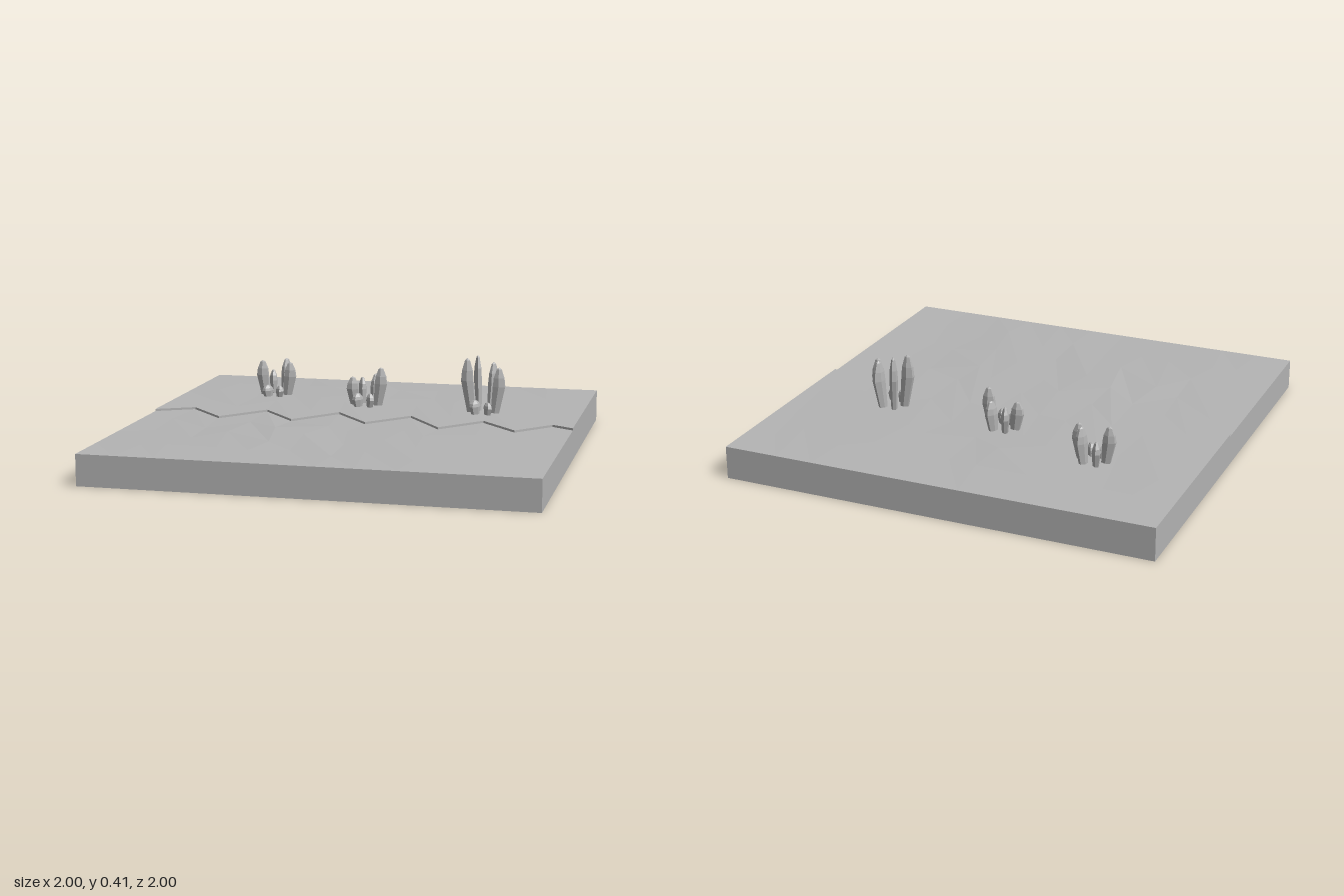
import * as THREE from 'three';

const stone = new THREE.MeshStandardMaterial({ color: 0xb4b4b4, flatShading: true });
stone.name = 'grey stone';

// Zigzag step between the high rear ground and the low front ground: [x, z]
const STEP = [[-1, 0], [-0.83, -0.09], [-0.65, 0.1], [-0.475, -0.11], [-0.3, 0.09], [-0.125, -0.13], [0.05, 0.08],
  [0.225, -0.12], [0.4, 0.12], [0.575, -0.08], [0.75, 0.11], [0.9, -0.06], [1, 0]];
const FRONT_Y = 0.141, BACK_Y = 0.151;

// Low swells in the ground: [x, z, height, radius]
const SWELLS = [[-0.28, 0.35, 0.015, 0.24], [0.3, 0.38, 0.01, 0.25], [0.35, 0.78, 0.006, 0.22], [-0.6, 0.78, 0.006, 0.25],
  [-0.25, -0.62, 0.012, 0.28], [0.4, -0.65, 0.008, 0.3], [-0.75, -0.75, 0.005, 0.2]];
const swell = (x, z) => SWELLS.reduce((s, [cx, cz, h, r]) =>
  s + h * Math.max(0, 1 - Math.hypot(x - cx, z - cz) / (r * 1.5)), 0);

// Slab with its uneven top, wrapped as one closed loop of rows per column
function groundGeometry() {
  const columns = STEP.map(([x, zs], i) => {
    const inner = i > 0 && i < STEP.length - 1;
    const point = (t, from, to, y, k) => {
      const wob = inner ? 0.035 * Math.sin(i * 2.7 + k * 1.9) : 0;
      const px = x + wob, z = from + (to - from) * t + wob;
      return [px, y + (inner ? swell(px, z) : 0), z];
    };
    const rows = [[x, 0, -1], [x, BACK_Y, -1]];
    [0.25, 0.5, 0.75].forEach((t, k) => rows.push(point(t, -1, zs, BACK_Y, k)));
    rows.push([x, BACK_Y, zs], [x, FRONT_Y, zs]);
    [0.25, 0.5, 0.75].forEach((t, k) => rows.push(point(t, zs, 1, FRONT_Y, k + 4)));
    rows.push([x, FRONT_Y, 1], [x, 0, 1]);
    return rows;
  });
  const pos = [];
  const quad = (a, b, c, d) => pos.push(...a, ...b, ...c, ...a, ...c, ...d);
  const n = columns[0].length;
  for (let i = 0; i < columns.length - 1; i++) {
    const L = columns[i], R = columns[i + 1];
    for (let j = 0; j < n; j++) {
      const k = (j + 1) % n;
      quad(L[j], L[k], R[k], R[j]);
    }
  }
  // Left and right side walls
  const drop = (p) => [p[0], 0, p[2]];
  const first = columns[0], last = columns[columns.length - 1];
  for (let j = 1; j < n - 2; j++) {
    quad(first[j], drop(first[j]), drop(first[j + 1]), first[j + 1]);
    quad(last[j + 1], drop(last[j + 1]), drop(last[j]), last[j]);
  }
  const g = new THREE.BufferGeometry();
  g.setAttribute('position', new THREE.Float32BufferAttribute(pos, 3));
  g.computeVertexNormals();
  return g;
}

// Six-sided flattened crystal leaning outward along +x
function crystalGeometry(height) {
  const profile = [[0.65, 0], [1, 0.6], [0.85, 0.78], [0.4, 0.96], [0, 1]]
    .map(([r, y]) => new THREE.Vector2(r, y));
  const g = new THREE.LatheGeometry(profile, 6);
  g.scale(0.033, height, 0.02);
  const p = g.attributes.position;
  for (let i = 0; i < p.count; i++) {
    const y = p.getY(i);
    p.setX(i, p.getX(i) + 0.055 + 0.14 * Math.min(y, 0.6 * height));
  }
  g.computeVertexNormals();
  return g;
}

// Clusters: centre and crystal top heights, turning from +x toward the rear
const CLUSTERS = [
  { name: 'rightCrystalCluster', at: [-0.54, -0.5], tops: [0.32, 0.33, 0.27, 0.325, 0.21, 0.21] },
  { name: 'middleCrystalCluster', at: [-0.04, -0.33], tops: [0.34, 0.3, 0.28, 0.29, 0.22, 0.22] },
  { name: 'leftCrystalCluster', at: [0.54, -0.28], tops: [0.37, 0.385, 0.415, 0.41, 0.22, 0.21] },
];

export function createModel() {
  const model = new THREE.Group();
  model.name = 'crystalGround';

  const ground = new THREE.Mesh(groundGeometry(), stone);
  ground.name = 'groundSlab';
  model.add(ground);

  for (const { name, at, tops } of CLUSTERS) {
    const cluster = new THREE.Group();
    cluster.name = name;
    cluster.position.set(at[0], 0.14, at[1]);
    tops.forEach((top, i) => {
      const crystal = new THREE.Mesh(crystalGeometry(top - 0.14), stone);
      crystal.name = 'crystal';
      crystal.rotation.y = i * Math.PI / 3;
      cluster.add(crystal);
    });
    model.add(cluster);
  }
  return model;
}
